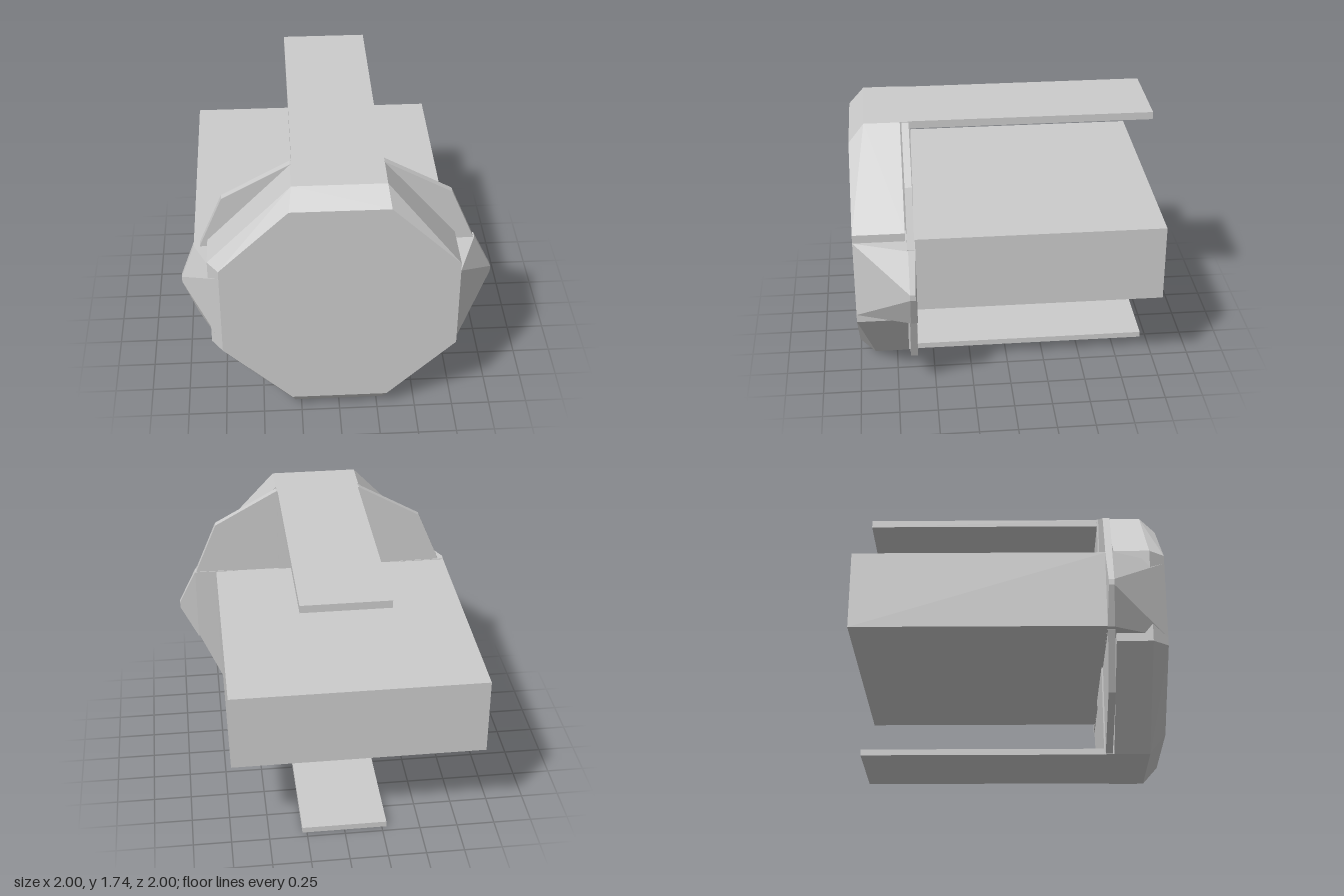
import * as THREE from 'three';
import { ConvexGeometry } from 'three/addons/geometries/ConvexGeometry.js';

const CY = 0.87; // height of the horizontal symmetry plane

export function createModel() {
  const group = new THREE.Group();
  const material = new THREE.MeshStandardMaterial({ color: 0xcccccc, flatShading: true });

  const add = (name, geometry) => {
    const mesh = new THREE.Mesh(geometry, material);
    mesh.name = name;
    group.add(mesh);
    return mesh;
  };

  // Faceted solid from corner points [x, height above centre, z], mirrored top to bottom
  const hull = (name, corners) => {
    const points = corners.flatMap(([x, h, z]) => [
      new THREE.Vector3(x, CY + h, z), new THREE.Vector3(x, CY - h, z)]);
    return add(name, new ConvexGeometry(points));
  };

  // Box from its minimum and maximum corners
  const box = (name, [x0, y0, z0], [x1, y1, z1]) => {
    const mesh = add(name, new THREE.BoxGeometry(x1 - x0, y1 - y0, z1 - z0));
    mesh.position.set((x0 + x1) / 2, (y0 + y1) / 2, (z0 + z1) / 2);
  };

  // Octagonal front head with chamfered edges, a little wider on its right side
  hull('frontHead', [
    [0.31, 0.75, 1], [0.75, 0.32, 1], [-0.31, 0.75, 1], [-0.75, 0.32, 1],
    [0.29, 0.87, 0.9], [-0.29, 0.87, 0.9], [-0.82, 0.32, 0.9],
    [0.29, 0.87, 0.67], [0.75, 0.32, 0.67], [-0.29, 0.87, 0.67], [-0.82, 0.32, 0.67],
  ]);

  // Thin plate behind the head
  const plate = [];
  for (const s of [-1, 1])
    for (const z of [0.615, 0.66])
      plate.push([s * 0.29, 0.865, z], [s * 0.72, 0.625, z], [s * 0.87, 0.27, z]);
  hull('backPlate', plate);

  // Core joining head, plate and slats
  box('core', [-0.285, 0, 0.605], [0.285, 1.74, 0.8]);

  // Pointed side cheeks
  for (const [name, s, shoulder] of [['leftCheek', 1, 0.88], ['rightCheek', -1, 0.91]]) {
    hull(name, [
      [s * 0.7, 0.265, 1], [s * 0.75, 0.265, 1],
      [s * 1, 0.02, 0.655], [s * 1, 0.02, 0.62],
      [s * shoulder, 0.265, 0.655], [s * shoulder, 0.265, 0.61], [s * 0.6, 0.265, 0.61],
    ]);
  }

  // Long rear block and the two slats above and below it
  box('rearBlock', [-0.91, 0.61, -1], [0.73, 1.13, 0.62]);
  box('topSlat', [-0.28, 1.69, -0.96], [0.28, 1.74, 0.61]);
  box('bottomSlat', [-0.28, 0, -0.96], [0.28, 0.04, 0.61]);

  return group;
}
